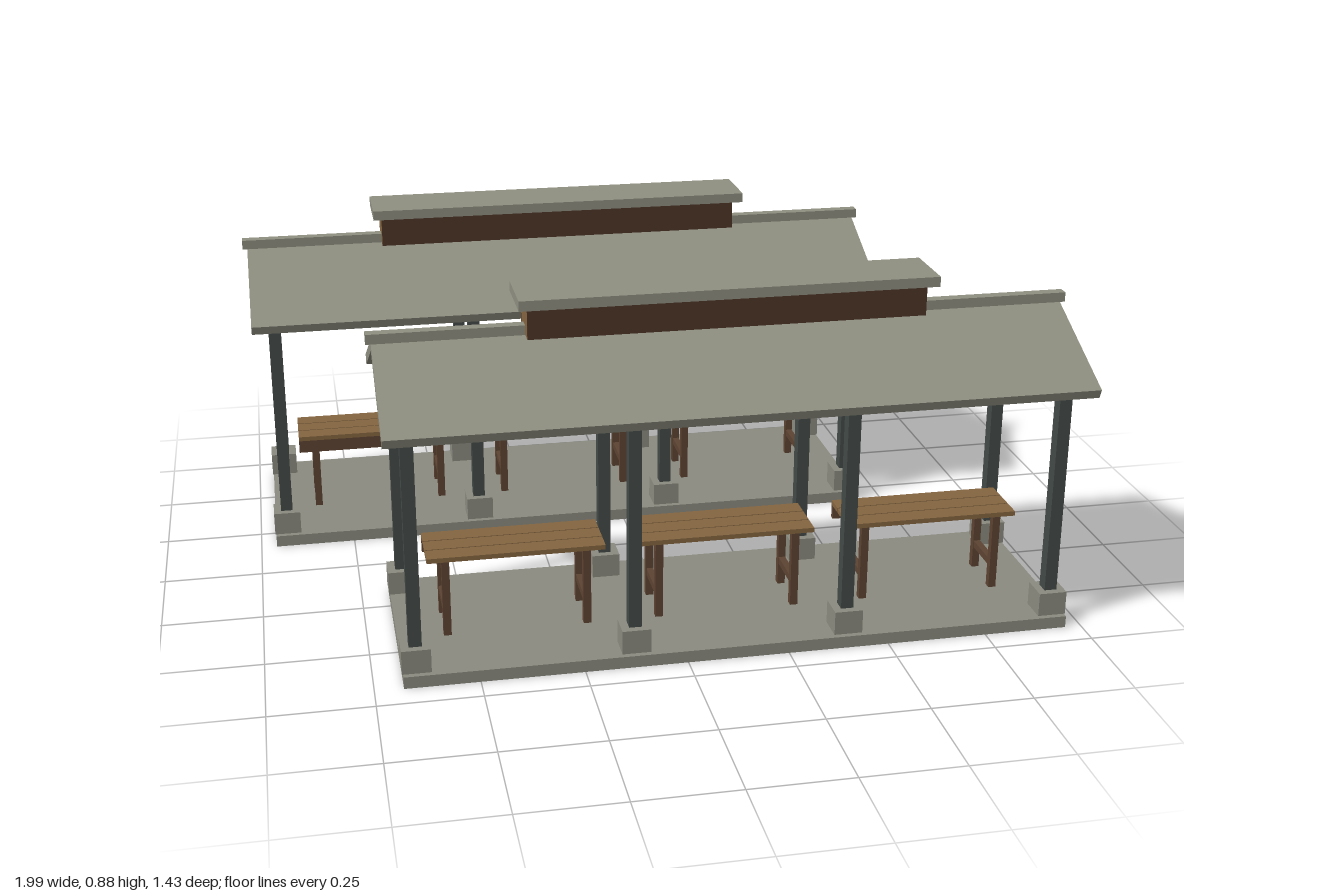
import * as THREE from 'three';

const mat = (name, color) => {
  const m = new THREE.MeshStandardMaterial({ color });
  m.name = name;
  return m;
};

export function createModel() {
  const concrete = mat('concrete', 0x8a8a7f);
  const roofing = mat('roofing', 0x8e8e80);
  const steel = mat('dark steel', 0x434a47);
  const wood = mat('wood', 0x84643f);
  const darkWood = mat('dark wood', 0x5c4331);
  const louvre = mat('louvre brown', 0x4c3526);

  // Box given by its size and centre
  const box = (parent, name, material, w, h, d, x, y, z) => {
    const mesh = new THREE.Mesh(new THREE.BoxGeometry(w, h, d), material);
    mesh.name = name;
    mesh.position.set(x, y, z);
    parent.add(mesh);
    return mesh;
  };

  // Picnic table: three planks, four legs, two stretchers and one apron
  const makeTable = () => {
    const table = new THREE.Group();
    table.name = 'table';
    for (const i of [-1, 0, 1])
      box(table, 'plank', wood, 0.435, 0.012, 0.049, 0, 0.235, i * 0.0525);
    for (const x of [-0.1725, 0.1725]) {
      for (const z of [-0.061, 0.061])
        box(table, 'tableLeg', darkWood, 0.019, 0.2, 0.019, x, 0.129, z);
      box(table, 'stretcher', darkWood, 0.017, 0.018, 0.12, x, 0.096, 0);
    }
    box(table, 'apron', darkWood, 0.435, 0.034, 0.014, 0, 0.212, -0.07);
    return table;
  };

  // One open shelter, centred on its own origin
  const makeShelter = (name) => {
    const g = new THREE.Group();
    g.name = name;
    box(g, 'floorSlab', concrete, 1.64, 0.03, 0.52, 0, 0.015, 0);

    // Posts on plinths, with a truss over each pair
    for (let i = 0; i < 4; i++) {
      const x = (i - 1.5) * 0.525;
      for (const s of [-1, 1]) {
        box(g, 'plinth', concrete, 0.07, 0.06, 0.07, x, 0.06, s * 0.211);
        box(g, 'post', steel, 0.031, 0.55, 0.033, x, 0.335, s * 0.211);
        const dz = 0.215, dy = 0.12;
        const rafter = box(g, 'rafter', steel, 0.025, 0.022, Math.hypot(dz, dy),
          x, 0.625 + dy / 2, s * dz / 2);
        rafter.rotation.x = s * Math.atan2(dy, dz);
      }
      box(g, 'tieBeam', steel, 0.025, 0.026, 0.45, x, 0.614, 0);
    }
    for (const s of [-1, 1])
      box(g, 'eaveBeam', steel, 1.615, 0.03, 0.033, 0, 0.621, s * 0.211);

    // Two roof slopes, square-cut at the eaves and mitred at the ridge
    for (const s of [-1, 1]) {
      const profile = new THREE.Shape([[0, 0.776], [0, 0.75], [0.282, 0.617], [0.2925, 0.64]]
        .map(([z, y]) => new THREE.Vector2(-s * z, y)));
      const geo = new THREE.ExtrudeGeometry(profile, { depth: 1.69, bevelEnabled: false });
      geo.translate(0, 0, -0.845).rotateY(Math.PI / 2);
      const slope = new THREE.Mesh(geo, roofing);
      slope.name = 'roofSlope';
      g.add(slope);
    }
    box(g, 'ridgeCap', roofing, 1.715, 0.024, 0.028, 0, 0.782, 0);

    // Raised ridge vent with louvred long sides
    box(g, 'ventBox', wood, 0.97, 0.08, 0.1, 0, 0.811, 0);
    for (const s of [-1, 1])
      box(g, 'ventLouvre', louvre, 0.97, 0.08, 0.004, 0, 0.811, s * 0.052);
    box(g, 'ventRoof', roofing, 1.015, 0.025, 0.162, 0, 0.8625, 0);

    // A table in each bay
    for (const i of [-1, 0, 1]) {
      const table = makeTable();
      table.position.x = i * 0.525;
      g.add(table);
    }
    return g;
  };

  const model = new THREE.Group();
  model.name = 'picnicShelters';
  const front = makeShelter('frontShelter');
  front.position.set(0.139, 0, 0.422);
  const back = makeShelter('backShelter');
  back.position.set(-0.139, 0, -0.422);
  back.rotation.y = Math.PI;
  model.add(front, back);
  return model;
}
